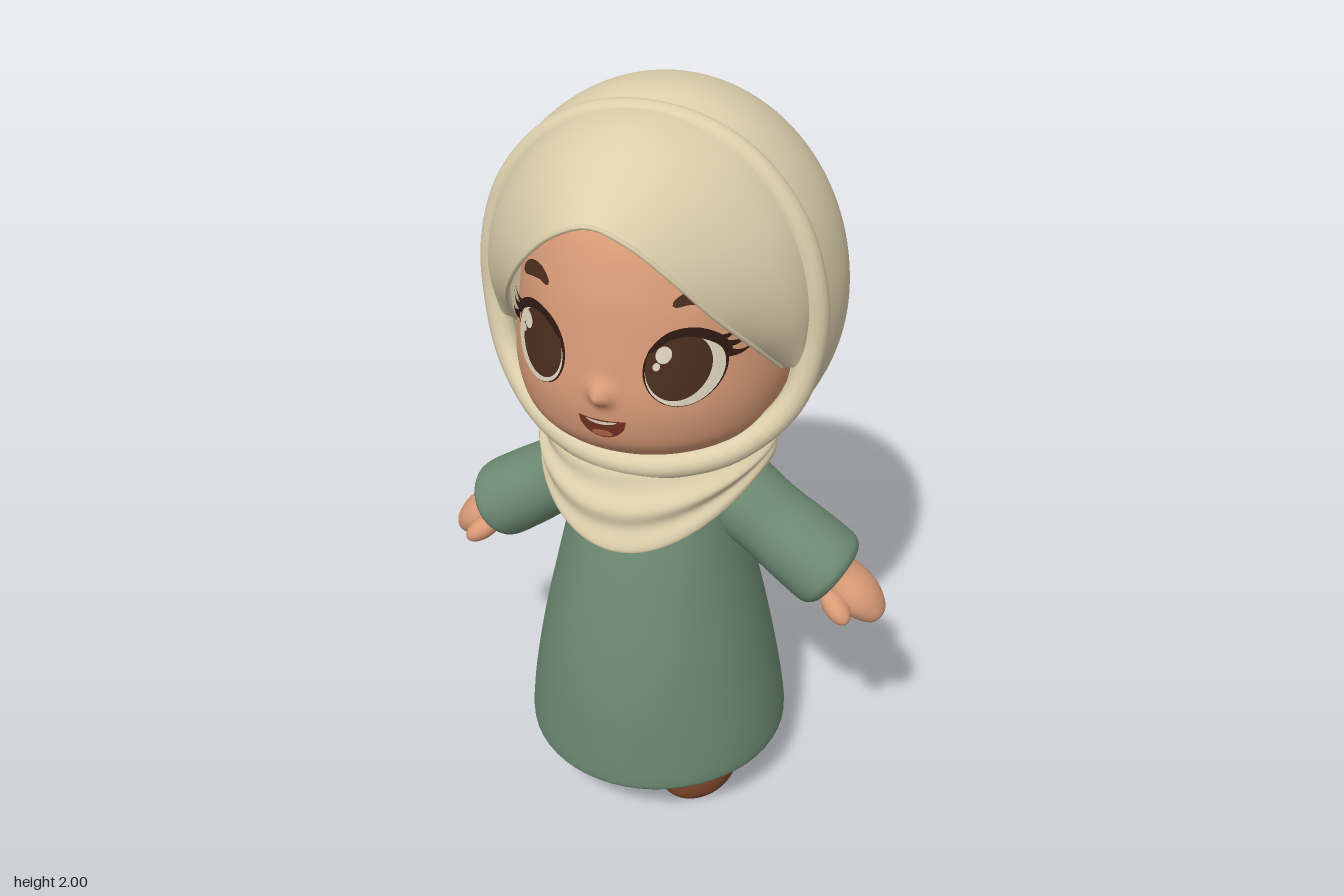
import * as THREE from 'three';
import { mergeVertices } from 'three/addons/utils/BufferGeometryUtils.js';

const mat = (name, color, side = THREE.FrontSide) => {
  const m = new THREE.MeshStandardMaterial({ color, side });
  m.name = name;
  return m;
};
const V2 = (x, y) => new THREE.Vector2(x, y);
const V3 = (a) => new THREE.Vector3(...a);

// Smooth grid surface from a rule f(u, v) -> [x, y, z]
function surface(f, nu, nv) {
  const pos = [], idx = [], n = nu + 1;
  for (let j = 0; j <= nv; j++)
    for (let i = 0; i <= nu; i++) pos.push(...f(i / nu, j / nv));
  for (let j = 0; j < nv; j++)
    for (let i = 0; i < nu; i++) {
      const a = j * n + i, d = a + n;
      idx.push(a, a + 1, d, a + 1, d + 1, d);
    }
  let g = new THREE.BufferGeometry();
  g.setAttribute('position', new THREE.Float32BufferAttribute(pos, 3));
  g.setIndex(idx);
  g = mergeVertices(g, 1e-5);
  g.computeVertexNormals();
  return g;
}

// Elliptic cross-sections [y, halfWidth, zBack, zFront], bottom to top
function loft(rows, nv) {
  const a = new THREE.SplineCurve(rows.map((r) => V2(r[0], r[1])));
  const b = new THREE.SplineCurve(rows.map((r) => V2(r[2], r[3])));
  return surface((u, v) => {
    const p = a.getPoint(v), q = b.getPoint(v), t = (u % 1) * Math.PI * 2;
    return [Math.max(p.y, 0) * Math.sin(t), p.x, (q.x + q.y) / 2 + ((q.y - q.x) / 2) * Math.cos(t)];
  }, 56, nv);
}

const lathe = (pts, n = 40) =>
  new THREE.LatheGeometry(new THREE.SplineCurve(pts.map((p) => V2(...p))).getPoints(48)
    .map((p) => V2(Math.max(p.x, 0), p.y)), n);

// Head profile and the depth of the face at (x, y), with a soft nose bump
const headPts = new THREE.SplineCurve([[0, 1.145], [0.17, 1.152], [0.27, 1.18], [0.33, 1.23], [0.355, 1.3],
  [0.36, 1.38], [0.347, 1.5], [0.325, 1.62], [0.27, 1.75], [0.16, 1.84], [0, 1.87]].map((p) => V2(...p))).getPoints(90);
const HX = 0.95, HZ = 0.98, HC = 0.06;
const noseBump = (x, y) => 0.042 * Math.exp(-(x * x + (y - 1.387) ** 2) / 0.0006);
function faceZ(x, y) {
  let i = 1;
  while (i < headPts.length - 1 && headPts[i].y < y) i++;
  const a = headPts[i - 1], b = headPts[i];
  const r = a.x + ((b.x - a.x) * (y - a.y)) / (b.y - a.y);
  return HC + HZ * Math.sqrt(Math.max(0, r * r - (x / HX) ** 2)) + noseBump(x, y);
}

// Thin oval lying on the face
function oval(cx, cy, rx, ry, off) {
  return surface((u, v) => {
    const t = (u % 1) * Math.PI * 2, k = 1 - v;
    const x = cx + rx * k * Math.cos(t), y = cy + ry * k * Math.sin(t);
    return [x, y, faceZ(x, y) + off];
  }, 40, 8);
}

// Thin tapered stroke lying on the face
function stroke(pts, width, off, taper, lift = 0) {
  const c = new THREE.SplineCurve(pts.map((p) => V2(...p)));
  return surface((u, v) => {
    const p = c.getPoint(u), t = c.getTangent(u), w = (v - 0.5) * width * taper(u);
    const x = p.x - t.y * w, y = p.y + t.x * w;
    return [x, y, faceZ(x, y) + off + lift * u];
  }, 20, 3);
}

export function createModel() {
  const D = THREE.DoubleSide;
  const cloth = mat('cream cloth', 0xdccfac, D), green = mat('green dress', 0x6d8b73, D);
  const skin = mat('skin', 0xd99b77), shoeMat = mat('brown leather', 0x7d462a);
  const iris = mat('dark brown', 0x4a2e1e, D), dark = mat('lash black', 0x2e1a12, D);
  const white = mat('eye white', 0xe2d9c0, D), mouthMat = mat('mouth red', 0x74321f, D);
  const tongueMat = mat('tongue pink', 0xb8664a, D);

  const model = new THREE.Group();
  const add = (name, geo, m, parent = model) => {
    const o = new THREE.Mesh(geo, m);
    o.name = name;
    parent.add(o);
    return o;
  };

  // Hollow dress with a rounded hem
  add('dress', loft([[0.4, 0, 0.04, 0.04], [0.4, 0.25, -0.2, 0.3], [0.3, 0.31, -0.27, 0.35], [0.17, 0.31, -0.28, 0.36],
    [0.15, 0.33, -0.298, 0.378], [0.155, 0.346, -0.313, 0.394], [0.18, 0.355, -0.32, 0.4], [0.27, 0.346, -0.31, 0.4],
    [0.4, 0.324, -0.291, 0.396], [0.55, 0.294, -0.264, 0.38], [0.7, 0.26, -0.228, 0.35], [0.85, 0.226, -0.18, 0.308],
    [0.98, 0.2, -0.14, 0.25], [1.08, 0.14, -0.09, 0.17], [1.1, 0, 0.04, 0.04]], 90), green);

  // Head with nose, and the cap edge under the scarf
  const headGeo = new THREE.LatheGeometry(headPts, 160), hp = headGeo.attributes.position;
  headGeo.scale(HX, 1, HZ).translate(0, 0, HC);
  for (let i = 0; i < hp.count; i++)
    if (hp.getZ(i) > 0.2) hp.setZ(i, hp.getZ(i) + noseBump(hp.getX(i), hp.getY(i)));
  headGeo.computeVertexNormals();
  add('head', headGeo, skin);
  const cap = add('underCap', new THREE.LatheGeometry(
    headPts.filter((p) => p.y > 1.765).map((p) => V2(p.x + 0.012, p.y + 0.006)), 48), cloth);
  cap.scale.set(HX, 1, HZ);
  cap.position.z = HC;

  // Rolled scarf border around the face
  const half = [[0.13, 1.935, 0.1], [0.25, 1.87, 0.1], [0.357, 1.74, 0.1], [0.409, 1.58, 0.1], [0.412, 1.43, 0.1],
    [0.368, 1.275, 0.13], [0.255, 1.168, 0.2], [0.12, 1.127, 0.255]];
  const rim = new THREE.CatmullRomCurve3([[0, 1.954, 0.1], ...half, [0, 1.117, 0.27],
    ...half.map(([x, y, z]) => [-x, y, z]).reverse()].map(V3), true);
  add('scarfBorder', new THREE.TubeGeometry(rim, 120, 0.034, 14, true), cloth);

  // Round back of the scarf: border to widest ring, then half an ellipsoid
  add('scarfHood', surface((u, v) => {
    const p = rim.getPoint(u % 1), dy = p.y - 1.48;
    const ry = dy > 0 ? 0.52 : 0.45, f = Math.atan2(dy / ry, p.x / 0.455);
    const ex = 0.455 * Math.cos(f), ey = ry * Math.sin(f);
    if (v < 0.25) {
      const s = v * 4, w = Math.sin((s * Math.PI) / 2);
      const x = p.x * 1.065, y = dy * 1.055;
      return [x + (ex - x) * w, 1.48 + y + (ey - y) * w, p.z * (1 - s)];
    }
    const a = ((v - 0.25) / 0.75) * (Math.PI / 2), k = v === 1 ? 0 : Math.cos(a);
    return [ex * k, 1.48 + ey * k, -0.46 * Math.sin(a)];
  }, 96, 48), cloth);

  // Peaked front fold over the forehead
  const both = (top, side) => new THREE.CatmullRomCurve3(
    [...side.map(([x, y, z]) => [-x, y, z]).reverse(), top, ...side].map(V3));
  const back = both([0, 1.975, 0.1], [[0.13, 1.953, 0.1], [0.25, 1.885, 0.1], [0.362, 1.745, 0.1],
    [0.41, 1.57, 0.11], [0.402, 1.4, 0.11]]);
  const edge = both([0, 1.826, 0.455], [[0.09, 1.79, 0.446], [0.18, 1.705, 0.412], [0.25, 1.605, 0.352],
    [0.306, 1.5, 0.258], [0.346, 1.38, 0.13]]);
  add('scarfFront', surface((u, v) => {
    const a = edge.getPoint(u), b = back.getPoint(u), m = a.clone().add(b).multiplyScalar(0.5);
    const out = new THREE.Vector3(m.x, m.y - 1.48, 0.15).normalize();
    m.addScaledVector(out, 0.09 * Math.sin(Math.PI * (0.12 + 0.76 * u)));
    const w = 1 - v;
    return a.multiplyScalar(w * w).addScaledVector(m, 2 * w * v).addScaledVector(b, v * v).toArray();
  }, 64, 20), cloth);
  add('scarfFrontHem', new THREE.TubeGeometry(edge, 64, 0.006, 8), cloth);

  // Draped collar with soft slanted folds, curled under at the lower edge
  add('scarfCollar', surface((u, v) => {
    // rows run from the curled lower edge up to the neck
    const a = (u % 1) * Math.PI * 2, c = Math.cos(a), s = Math.sin(a), d = 1 - v;
    const w = Math.min(1, d / 0.85), curl = Math.max(0, (d - 0.85) / 0.15);
    const low = 1.058 - 0.15 * c * c;
    const y = 1.145 + (low - 1.145) * w - 0.012 * Math.sin(curl * Math.PI) + 0.03 * curl * curl;
    let k = 0.86 + 0.14 * Math.sin((Math.min(1, w * 2.6) * Math.PI) / 2);
    k += (0.02 + 0.012 * c) * Math.sin(w * 13 + 1.3 * s + 0.4) * Math.sin(Math.PI * w) - 0.16 * curl * curl;
    const rz = c > 0 ? 0.27 + 0.06 * w : 0.285 - 0.01 * w;
    return [0.305 * k * s, y, 0.03 + rz * k * c];
  }, 80, 44), cloth);

  // Mouth with teeth and tongue
  const smile = (w, top, depth, off) => surface((u, v) => {
    const x = (u * 2 - 1) * w, q = 1 - (u * 2 - 1) ** 2;
    const y = top + 0.004 * (1 - q) - depth * Math.sqrt(q) * (1 - v);
    return [x, y, faceZ(x, y) + off];
  }, 24, 6);
  add('mouth', smile(0.06, 1.318, 0.052, 0.004), mouthMat);
  add('teeth', smile(0.04, 1.316, 0.009, 0.007), white);
  add('tongue', oval(0, 1.281, 0.026, 0.01, 0.007), tongueMat);

  const round = (u) => Math.sqrt(Math.max(0, Math.sin(Math.PI * u))), point = (u) => 1 - u;
  const theta = 0.952;
  for (const s of [1, -1]) {
    const side = s > 0 ? 'left' : 'right';

    // Eye layers, lid line, lashes and brow
    const ex = 0.18 * s, ey = 1.458;
    add(side + 'EyeOutline', oval(ex, ey, 0.084, 0.094, 0.003), dark);
    add(side + 'EyeWhite', oval(ex + 0.001 * s, ey - 0.004, 0.079, 0.087, 0.006), white);
    add(side + 'Iris', oval(ex - 0.01 * s, ey + 0.008, 0.067, 0.083, 0.009), iris);
    add(side + 'EyeGlint', oval(ex - 0.038, ey + 0.042, 0.017, 0.021, 0.012), white);
    add(side + 'EyeGlintSmall', oval(ex - 0.052, ey + 0.014, 0.008, 0.01, 0.012), white);
    add(side + 'LidLine', stroke([[ex - 0.072 * s, ey + 0.045], [ex - 0.03 * s, ey + 0.085], [ex + 0.02 * s, ey + 0.09],
      [ex + 0.065 * s, ey + 0.062], [ex + 0.09 * s, ey + 0.02]], 0.022, 0.012, round), dark);
    for (const [x0, y0, x1, y1] of [[0.06, 0.062, 0.105, 0.085], [0.075, 0.045, 0.122, 0.055], [0.083, 0.022, 0.125, 0.026]])
      add(side + 'Lash', stroke([[ex + x0 * s, ey + y0], [ex + (x0 + x1) * 0.51 * s, ey + (y0 + y1) / 2 - 0.006],
        [ex + x1 * s, ey + y1]], 0.02, 0.01, point, 0.02), dark);
    add(side + 'Brow', stroke([[0.152 * s, 1.612], [0.185 * s, 1.626], [0.22 * s, 1.618], [0.252 * s, 1.595]],
      0.034, 0.009, round), iris);

    // Arm: sleeve with a rounded cuff, mitten hand and thumb
    const arm = new THREE.Group();
    arm.name = side + 'Arm';
    arm.position.set(0.215 * s, 0.92, 0.018);
    arm.rotation.z = theta * s;
    model.add(arm);
    add('sleeve', lathe([[0, -0.325], [0.05, -0.328], [0.078, -0.334], [0.097, -0.324], [0.107, -0.295], [0.105, -0.2],
      [0.1, -0.1], [0.104, 0], [0.092, 0.06], [0, 0.1]]), green, arm).scale.z = 1.13;
    const hand = add('hand', lathe([[0, -0.1], [0.5, -0.088], [0.88, -0.045], [1, 0], [0.92, 0.05], [0.8, 0.1],
      [0, 0.11]].map(([r, y]) => [r * 0.1, y])), skin, arm);
    hand.scale.set(0.54, 1, 0.74);
    hand.position.set(-0.014 * s, -0.404, -0.018);
    hand.rotation.z = -0.12 * s;
    const thumb = add('thumb', new THREE.SphereGeometry(1, 24, 16), skin, arm);
    thumb.scale.set(0.03, 0.056, 0.034);
    thumb.position.set(-0.036 * s, -0.382, 0.062);
    thumb.rotation.x = -0.55;

    // Leg and shoe
    const ankle = add(side + 'Ankle', new THREE.CylinderGeometry(0.088, 0.088, 0.14, 32), skin);
    ankle.position.set(0.128 * s, 0.16, 0.045);
    const leg = add(side + 'TrouserLeg', new THREE.CylinderGeometry(0.094, 0.094, 0.19, 32), shoeMat);
    leg.position.set(0.128 * s, 0.315, 0.045);
    const shoe = add(side + 'Shoe', loft([[0.004, 0, 0.08, 0.08], [0.001, 0.09, -0.055, 0.21], [0.012, 0.107, -0.07, 0.237],
      [0.045, 0.112, -0.076, 0.245], [0.075, 0.108, -0.076, 0.24], [0.1, 0.101, -0.074, 0.195], [0.118, 0.096, -0.07, 0.145],
      [0.13, 0.09, -0.06, 0.125], [0.125, 0, 0.03, 0.03]], 40), shoeMat);
    shoe.position.x = 0.136 * s;
  }
  return model;
}
